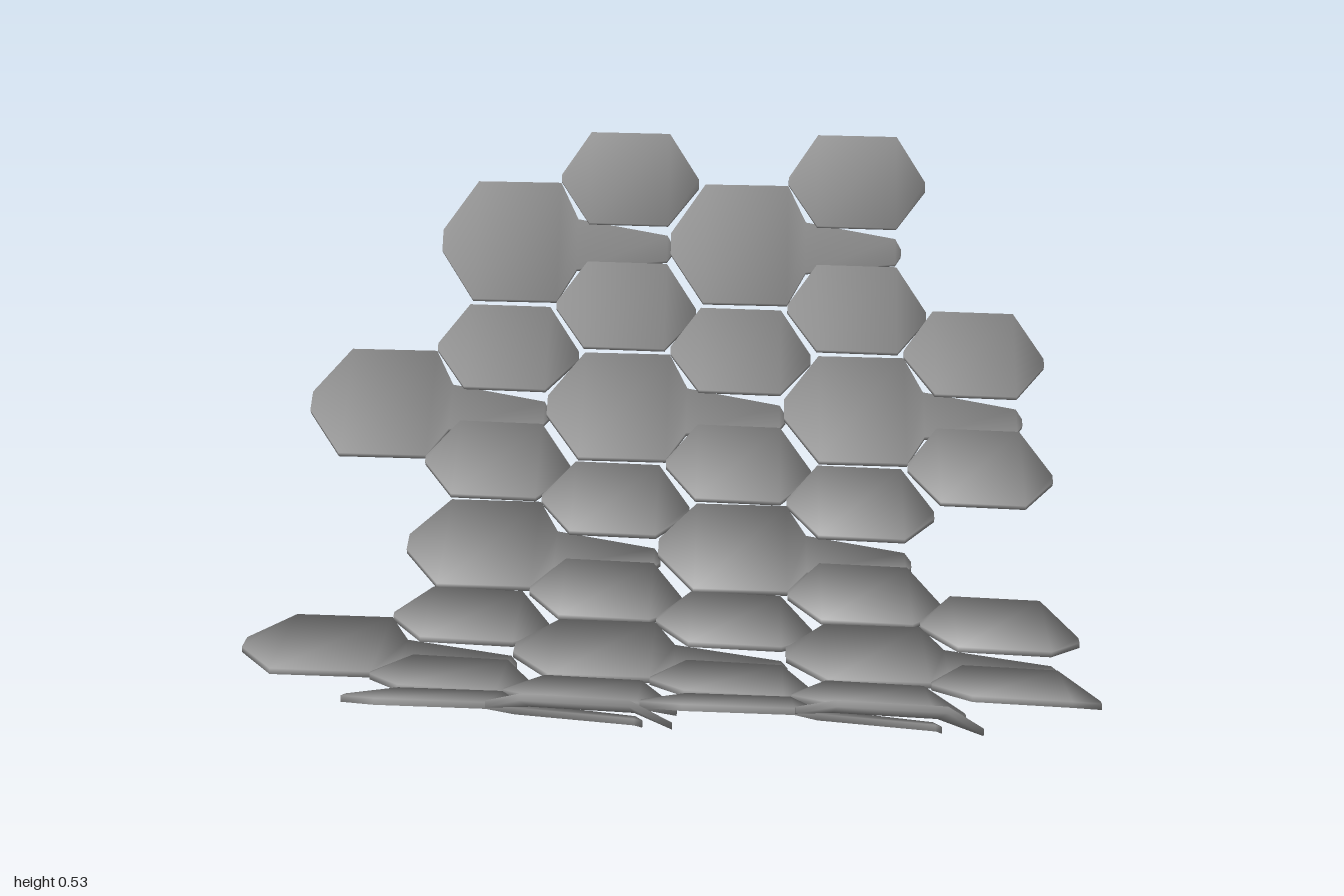
import * as THREE from 'three';

const R = 1.3, BASE = 0.05, LOW_Z = 0.035; // arc the sheet is bent along
const THICK = 0.011;

// cross-sections: [position along scale, half width, height]
const LONG = [
  [0, 0.025, 0], [0.075, 0.143, -0.003], [0.262, 0.143, -0.006],
  [0.303, 0.06, -0.014], [0.505, 0.03, -0.03], [0.518, 0.008, -0.035],
];
const HEX = [
  [-0.155, 0.008, -0.004], [-0.09, 0.107, -0.001], [0.088, 0.107, -0.008], [0.155, 0.01, -0.034],
];

// pattern coordinates -> point on the bent sheet
function bend(u, v, h) {
  const a = v / R;
  return new THREE.Vector3(u, BASE + R - (R - h) * Math.cos(a), LOW_Z + (R - h) * Math.sin(a));
}

// smooth normals that weigh each face by its corner angle, so thin rims look rounded
function softNormals(points, index) {
  const normals = points.map(() => new THREE.Vector3());
  for (let i = 0; i < index.length; i += 3) {
    const tri = index.slice(i, i + 3);
    const [a, b, c] = tri.map((k) => points[k]);
    const face = b.clone().sub(a).cross(c.clone().sub(a)).normalize();
    tri.forEach((k, n) => {
      const p = points[k];
      const e = points[tri[(n + 1) % 3]].clone().sub(p), f = points[tri[(n + 2) % 3]].clone().sub(p);
      normals[k].addScaledVector(face, e.angleTo(f));
    });
  }
  return normals.map((n) => n.normalize());
}

// thin closed plate lofted through the sections
function plate(sections, u0, v0) {
  const points = [], index = [], n = sections.length, low = n * 2;
  for (const drop of [0, THICK]) {
    for (const [u, w, h] of sections) {
      for (const k of [-1, 1]) points.push(bend(u0 + u, v0 + k * w, h - drop));
    }
  }
  for (let a = 0; a < low - 2; a += 2) {
    index.push(a, a + 1, a + 2, a + 1, a + 3, a + 2);
    index.push(low + a, low + a + 2, low + a + 1, low + a + 1, low + a + 2, low + a + 3);
  }
  // rim
  const loop = [];
  for (let i = 0; i < n; i++) loop.push(i * 2 + 1);
  for (let i = n - 1; i >= 0; i--) loop.push(i * 2);
  loop.forEach((p, i) => {
    const q = loop[(i + 1) % loop.length];
    index.push(p, p + low, q, q, p + low, q + low);
  });
  const flat = (list) => new THREE.Float32BufferAttribute(list.flatMap((p) => p.toArray()), 3);
  const geo = new THREE.BufferGeometry();
  geo.setAttribute('position', flat(points));
  geo.setAttribute('normal', flat(softNormals(points, index)));
  geo.setIndex(index);
  return geo;
}

export function createModel() {
  const model = new THREE.Group();
  model.name = 'scaleArmour';
  const sheet = new THREE.Group();
  sheet.name = 'scaleSheet';
  sheet.rotation.y = -0.058; // the whole bent sheet sits slightly askew
  model.add(sheet);
  const material = new THREE.MeshStandardMaterial({ color: 0x999999 });
  const add = (name, sections, u, v) => {
    const mesh = new THREE.Mesh(plate(sections, u, v), material);
    mesh.name = name;
    sheet.add(mesh);
  };

  // staggered rows; every long scale has a hexagon on each side of its tail
  for (let row = -2; row <= 2; row++) {
    const odd = row % 2 !== 0;
    for (let col = odd ? -1 : 0; col <= 1; col++) {
      const u = -0.552 + col * 0.514 + (odd ? 0.257 : 0), v = -0.07 + row * 0.419;
      add('longScale', LONG, u, v);
      for (const side of [-1, 1]) add('hexScale', HEX, u + 0.418, v + side * 0.154);
    }
  }
  return model;
}
